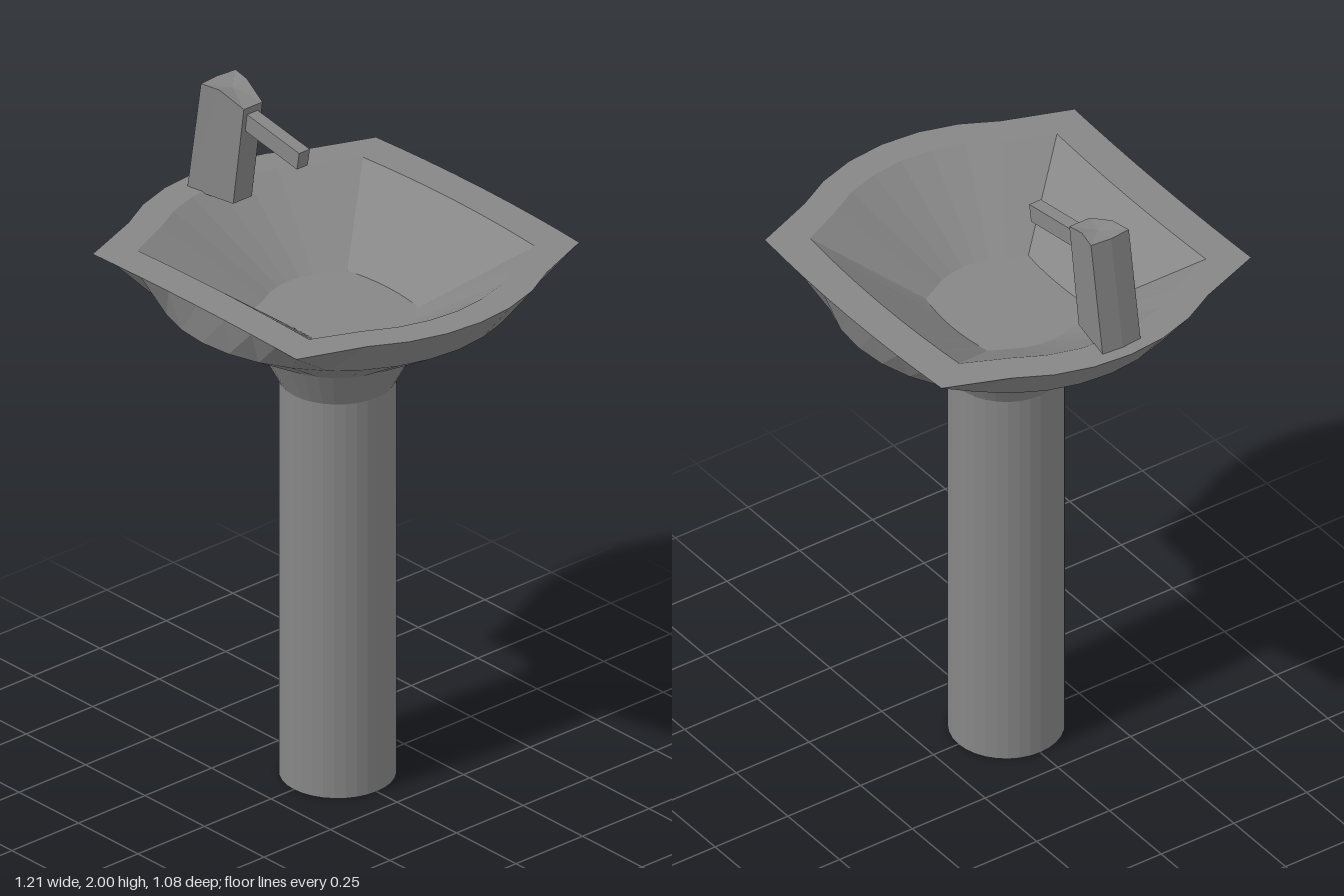
import * as THREE from 'three';

const N = 32;

// Circular ring; with a depth given, its front and back arcs are squared off
function ring(r, y, depth) {
  const pts = [];
  for (let i = 0; i < N; i++) {
    const a = (i / N) * Math.PI * 2;
    const x = r * Math.cos(a);
    let z = r * Math.sin(a);
    const diagonal = r * Math.SQRT1_2;
    if (depth && Math.abs(x) < diagonal + 0.001) {
      const bow = 1 - (x / diagonal) ** 2;
      z = z > 0 ? depth - 0.009 * bow : -(depth - 0.012) - 0.017 * bow;
    }
    pts.push([x, y, z]);
  }
  return pts;
}

// Skin through closed rings, with optional flat caps on the ends
function loft(rings, capStart, capEnd) {
  const n = rings[0].length;
  const pos = rings.flat(2);
  const index = [];
  for (let k = 0; k < rings.length - 1; k++) {
    for (let i = 0; i < n; i++) {
      const j = (i + 1) % n;
      const a = k * n + i, b = k * n + j, c = a + n, d = b + n;
      index.push(a, c, b, b, c, d);
    }
  }
  const cap = (k, up) => {
    const centre = [0, 1, 2].map((c) => rings[k].reduce((s, p) => s + p[c], 0) / n);
    const m = pos.length / 3;
    pos.push(...centre);
    for (let i = 0; i < n; i++) {
      const a = k * n + i, b = k * n + (i + 1) % n;
      if (up) index.push(m, b, a);
      else index.push(m, a, b);
    }
  };
  if (capStart) cap(0, false);
  if (capEnd) cap(rings.length - 1, true);
  const geo = new THREE.BufferGeometry();
  geo.setAttribute('position', new THREE.Float32BufferAttribute(pos, 3));
  geo.setIndex(index);
  const flat = geo.toNonIndexed();
  flat.computeVertexNormals();
  return flat;
}

export function createModel() {
  const model = new THREE.Group();
  model.name = 'pedestalSink';
  const ceramic = new THREE.MeshStandardMaterial({ color: 0x868686 });
  ceramic.name = 'grey ceramic';
  ceramic.flatShading = true;

  const add = (name, geometry, parent = model) => {
    const mesh = new THREE.Mesh(geometry, ceramic);
    mesh.name = name;
    parent.add(mesh);
    return mesh;
  };

  // Column and its flared neck
  add('pedestal', loft([ring(0.165, 0), ring(0.165, 1.245), ring(0.225, 1.36)], true, false));

  // Underside, rim, inner walls and floor of the basin
  add('basin', loft([
    ring(0.225, 1.36),
    ring(0.508, 1.53),
    ring(0.605, 1.655, 0.538),
    ring(0.51, 1.655, 0.43),
    ring(0.212, 1.465, 0.182),
  ], false, true));

  const tap = new THREE.Group();
  tap.name = 'tap';
  model.add(tap);

  // Leaning tap body: wedge-shaped section, bowed at the back
  const section = (xBack, xMid, xFront, y, yFront) => [
    [xFront, yFront, -0.035],
    [xFront, yFront, 0.035],
    [xMid, y, 0.052],
    [xBack + 0.006, y, 0.065],
    [xBack, y, 0],
    [xBack + 0.006, y, -0.065],
    [xMid, y, -0.052],
  ];
  add('tapBody', loft([
    section(-0.565, -0.49, -0.4, 1.65, 1.65),
    section(-0.508, -0.44, -0.355, 2.0, 1.965),
  ], true, true), tap);

  // Spout sloping down over the basin
  const spout = add('spout', new THREE.BoxGeometry(0.25, 0.055, 0.04), tap);
  spout.position.set(-0.267, 1.899, 0);
  spout.rotation.z = -0.17;

  return model;
}
